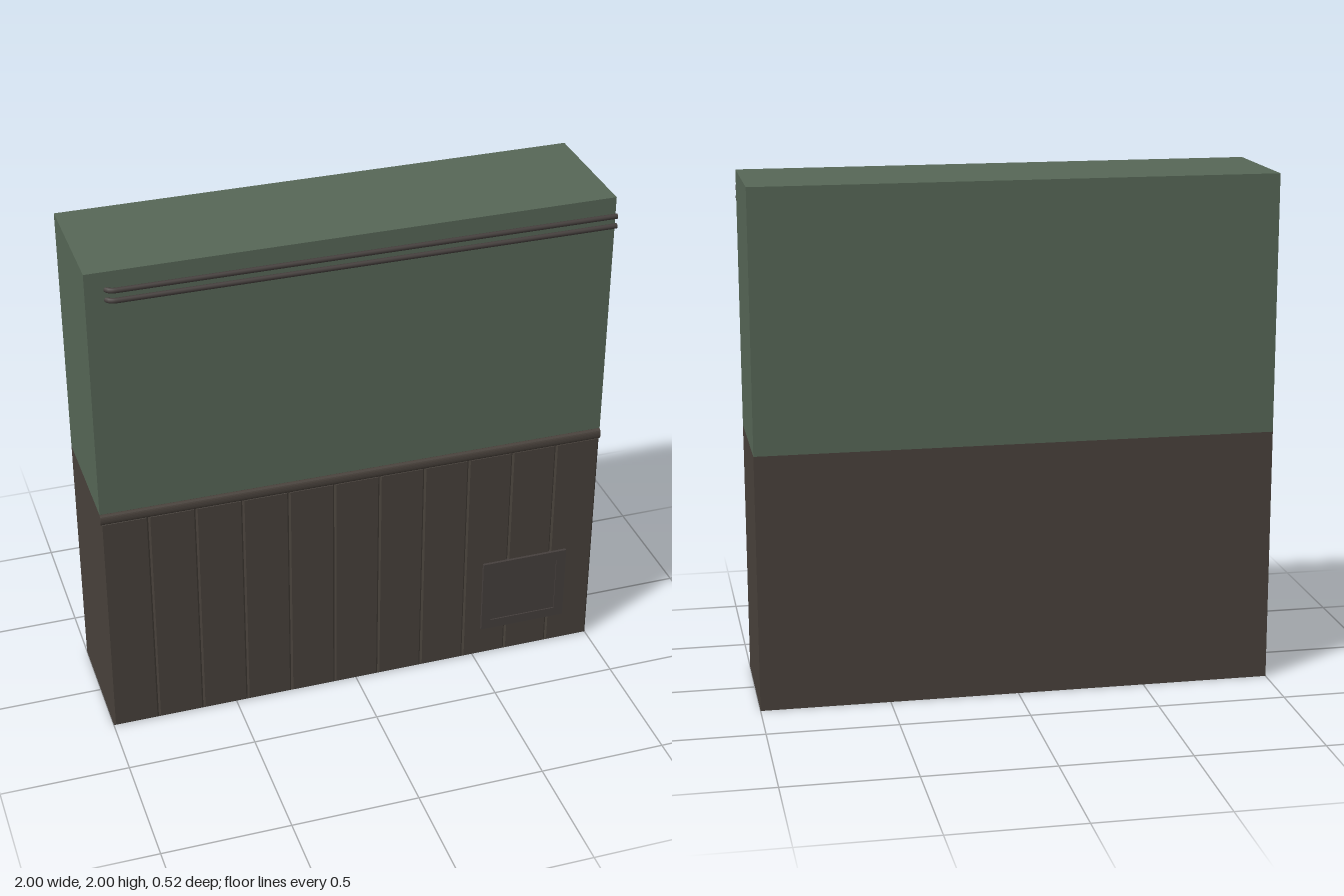
import * as THREE from 'three';

const BACK = -0.262, WALL = 0.237;

export function createModel() {
  const model = new THREE.Group();
  const mat = (name, color) => Object.assign(new THREE.MeshStandardMaterial({ color }), { name });
  const green = mat('green paint', 0x566656);
  const brown = mat('dark brown', 0x48413b);
  const metal = mat('dark metal', 0x453f3d);

  const add = (name, geometry, material, x = 0, y = 0, z = 0) => {
    const mesh = new THREE.Mesh(geometry, material);
    mesh.name = name;
    mesh.position.set(x, y, z);
    model.add(mesh);
    return mesh;
  };
  const box = (name, material, x0, x1, y0, y1, z0, z1) =>
    add(name, new THREE.BoxGeometry(x1 - x0, y1 - y0, z1 - z0), material,
      (x0 + x1) / 2, (y0 + y1) / 2, (z0 + z1) / 2);
  const rectangle = (Type, x0, x1, y0, y1) => new Type([
    new THREE.Vector2(x0, y0), new THREE.Vector2(x1, y0),
    new THREE.Vector2(x1, y1), new THREE.Vector2(x0, y1)]);

  // Wall: painted upper half, brown lower half
  box('upperWall', green, -1, 1, 1, 2, BACK, WALL);
  box('lowerWall', brown, -1, 1, 0, 1, BACK, WALL - 0.004);

  // Wainscot boards with bevelled edges
  const count = 11, width = 2 / count, bevel = 0.007;
  const boardShape = rectangle(THREE.Shape, -width / 2 + bevel, width / 2 - bevel, bevel, 0.96 - bevel);
  const board = new THREE.ExtrudeGeometry(boardShape, {
    depth: 0.001, bevelSize: bevel, bevelThickness: bevel, bevelSegments: 1 });
  for (let i = 0; i < count; i++) {
    add('board', board, brown, -1 + width * (i + 0.5), 0, WALL + 0.004 - bevel - 0.001);
  }

  // Chair rail with a rounded front, extruded along x
  const profile = new THREE.Shape();
  profile.moveTo(-0.228, 0.955);
  profile.lineTo(-0.24, 0.955);
  profile.quadraticCurveTo(-0.249, 0.96, -0.249, 0.975);
  profile.quadraticCurveTo(-0.249, 0.994, -0.238, 0.997);
  profile.lineTo(-0.228, 0.997);
  const trim = new THREE.ExtrudeGeometry(profile, { depth: 2, bevelEnabled: false, curveSegments: 5 });
  trim.rotateY(Math.PI / 2);
  add('chairRail', trim, brown, -1);

  // Access panel: frame around a slightly recessed door
  const frame = rectangle(THREE.Shape, 0.53, 0.885, 0.13, 0.45);
  frame.holes.push(rectangle(THREE.Path, 0.57, 0.845, 0.17, 0.41));
  add('panelFrame', new THREE.ExtrudeGeometry(frame, { depth: 0.019, bevelEnabled: false }),
    metal, 0, 0, WALL - 0.004);
  box('panelDoor', metal, 0.57, 0.845, 0.17, 0.41, WALL - 0.004, WALL + 0.01);

  // Pair of pipes, each turning into the wall at the left end
  for (const y of [1.93, 1.89]) {
    const path = new THREE.CurvePath();
    const p = (x, z) => new THREE.Vector3(x, y, z);
    path.add(new THREE.QuadraticBezierCurve3(p(-0.925, 0.23), p(-0.917, 0.252), p(-0.89, 0.252)));
    path.add(new THREE.LineCurve3(p(-0.89, 0.252), p(1, 0.252)));
    add('pipe', new THREE.TubeGeometry(path, 200, 0.01, 10, false), metal);
    const cap = add('pipeEnd', new THREE.CircleGeometry(0.01, 10), metal, 1, y, 0.252);
    cap.rotation.y = Math.PI / 2;
  }

  return model;
}
